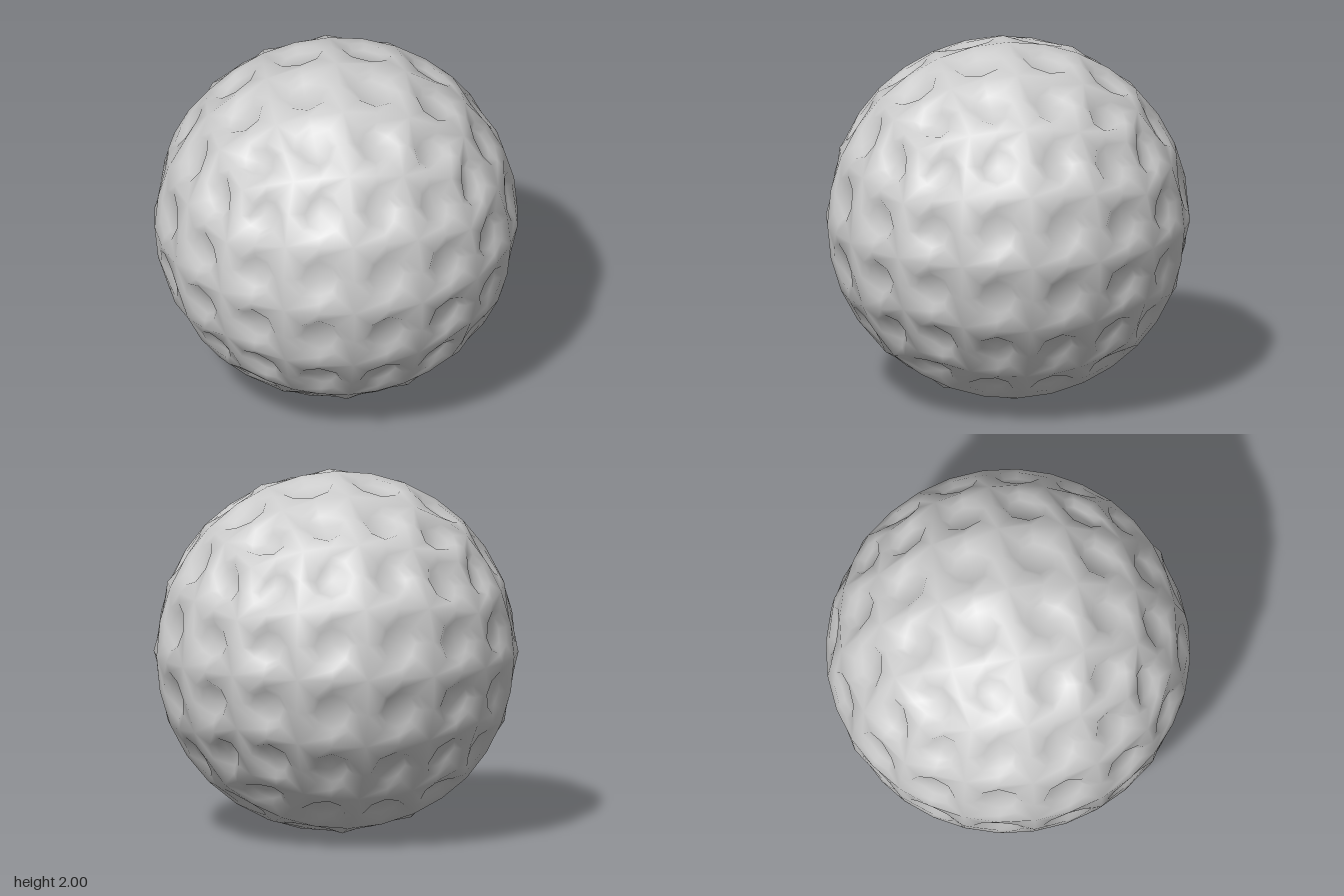
import * as THREE from 'three';
import { mergeVertices } from 'three/addons/utils/BufferGeometryUtils.js';

// Dimple rings: [fraction of the cell half-width, distance from the ball centre]
const RINGS = [[1, 1], [0.72, 0.985], [0.53, 0.952]];
const FLOOR = 0.95;

// Average of points, pushed onto the unit sphere
const mid = (...pts) => pts.reduce((s, p) => s.add(p), new THREE.Vector3()).normalize();

// One square cell of the ball with an eight-sided dimple sunk into it
function addDimple(out, outline, centre) {
  const rings = RINGS.map(([k, r]) => outline.map((p, i) => {
    const f = k === 1 || i % 2 ? k : k * Math.SQRT1_2; // even points are cell corners
    return centre.clone().lerp(p, f).setLength(r);
  }));
  const tri = (...pts) => pts.forEach((p) => out.push(p.x, p.y, p.z));
  const bottom = centre.clone().setLength(FLOOR);
  for (let i = 0; i < 8; i++) {
    const j = (i + 1) % 8;
    for (let k = 0; k < rings.length - 1; k++) {
      const a = rings[k], b = rings[k + 1];
      tri(a[i], a[j], b[j]);
      tri(a[i], b[j], b[i]);
    }
    tri(rings[2][i], rings[2][j], bottom);
  }
}

// Split a spherical quad in four, down to 4 x 4 cells per cube side
function subdivide(out, [a, b, c, d], depth) {
  const ab = mid(a, b), bc = mid(b, c), cd = mid(c, d), da = mid(d, a), m = mid(a, b, c, d);
  if (depth === 0) return addDimple(out, [a, ab, b, bc, c, cd, d, da], m);
  for (const quad of [[a, ab, m, da], [ab, b, bc, m], [m, bc, c, cd], [da, m, cd, d]]) {
    subdivide(out, quad, depth - 1);
  }
}

export function createModel() {
  const group = new THREE.Group();
  group.name = 'golfBall';

  // Six cube sides inflated to a sphere
  const positions = [];
  for (let axis = 0; axis < 3; axis++) {
    for (const s of [1, -1]) {
      const n = new THREE.Vector3().setComponent(axis, s);
      const u = new THREE.Vector3().setComponent((axis + 1) % 3, 1);
      const v = n.clone().cross(u);
      const corner = (i, j) => n.clone().addScaledVector(u, i).addScaledVector(v, j).normalize();
      subdivide(positions, [corner(-1, -1), corner(1, -1), corner(1, 1), corner(-1, 1)], 2);
    }
  }

  // Shared vertices give smooth shading over the whole ball
  let geometry = new THREE.BufferGeometry();
  geometry.setAttribute('position', new THREE.Float32BufferAttribute(positions, 3));
  geometry = mergeVertices(geometry);
  geometry.computeVertexNormals();

  const ball = new THREE.Mesh(geometry, new THREE.MeshStandardMaterial({ color: 0xcccccc }));
  ball.name = 'dimpledBall';
  ball.position.y = 1;
  group.add(ball);
  return group;
}
